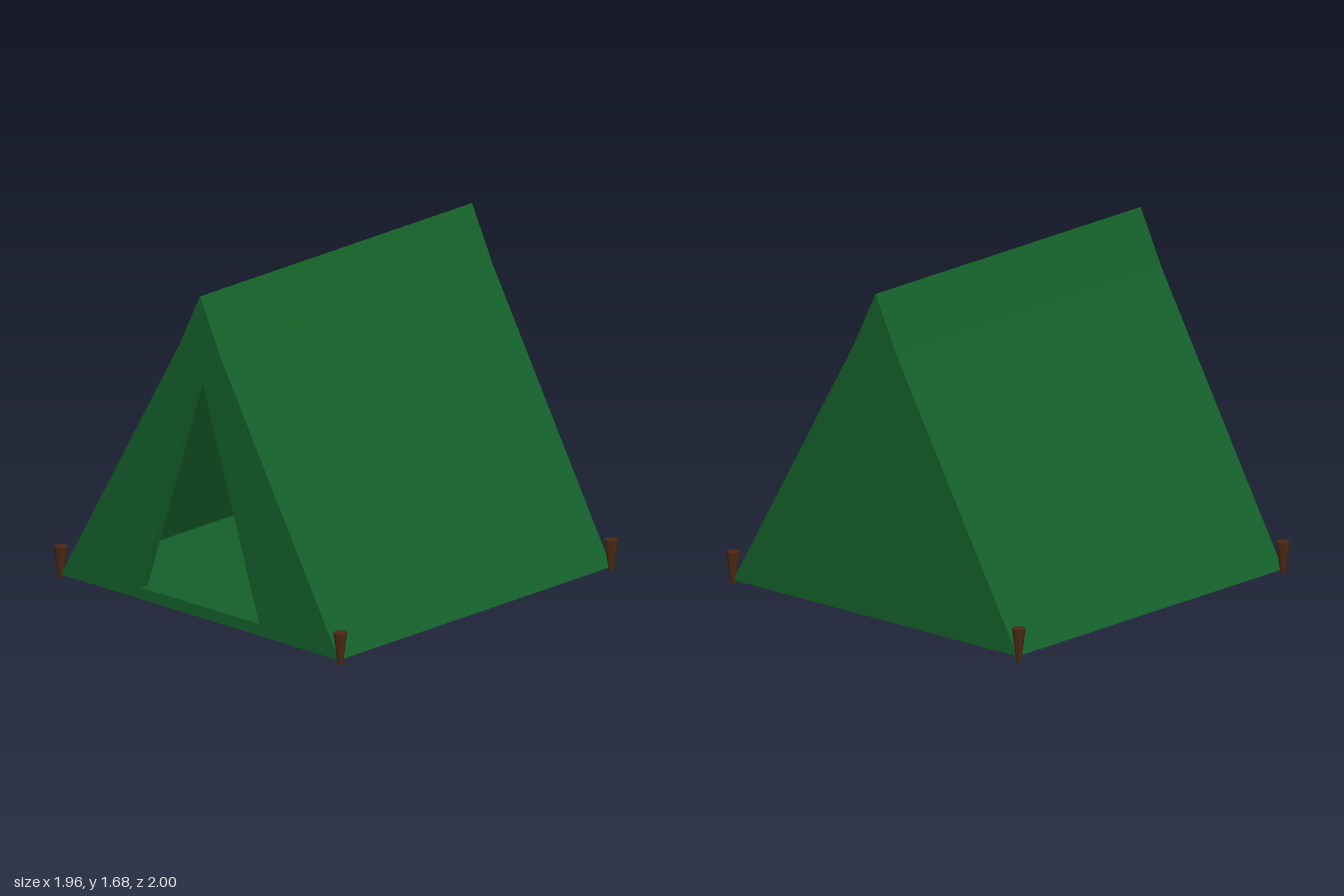
import * as THREE from 'three';

const canvas = new THREE.MeshStandardMaterial({ color: 0x14602a, flatShading: true });
const wood = new THREE.MeshStandardMaterial({ color: 0x4a2814, flatShading: true });

const HALF_LENGTH = 0.97;
const WALL = 0.05;
const OUTLINE = [[-0.94, 0.02], [0.94, 0.02], [0.14, 1.4], [0, 1.685], [-0.14, 1.4]];
const INSIDE = [[-0.82, 0.08], [0.82, 0.08], [0, 1.5]];
const DOORWAY = [[-0.4, 0.08], [0.4, 0.08], [0, 1.3]];

const toPoints = (list) => list.map(([x, y]) => new THREE.Vector2(x, y));

// Slab with the tent's cross-section, running from z0 to z1, with an optional opening
function tentSection(name, z0, z1, opening) {
  const shape = new THREE.Shape(toPoints(OUTLINE));
  if (opening) shape.holes.push(new THREE.Path(toPoints(opening)));
  const geometry = new THREE.ExtrudeGeometry(shape, { depth: z1 - z0, bevelEnabled: false });
  geometry.translate(0, 0, z0);
  const mesh = new THREE.Mesh(geometry, canvas);
  mesh.name = name;
  return mesh;
}

export function createModel() {
  const model = new THREE.Group();
  model.name = 'tent';

  // Canvas: hollow body closed by a solid back and a front with a doorway
  model.add(
    tentSection('backWall', -HALF_LENGTH, -HALF_LENGTH + WALL),
    tentSection('roofAndFloor', -HALF_LENGTH + WALL, HALF_LENGTH - WALL, INSIDE),
    tentSection('frontWall', HALF_LENGTH - WALL, HALF_LENGTH, DOORWAY)
  );

  // Tapered pegs at the four corners
  const pegGeometry = new THREE.CylinderGeometry(0.034, 0.013, 0.165, 8);
  for (const [side, x] of [['left', 0.945], ['right', -0.945]]) {
    for (const [end, z] of [['Front', 0.966], ['Back', -0.966]]) {
      const peg = new THREE.Mesh(pegGeometry, wood);
      peg.name = `${side}${end}Peg`;
      peg.position.set(x, 0.0825, z);
      model.add(peg);
    }
  }
  return model;
}
